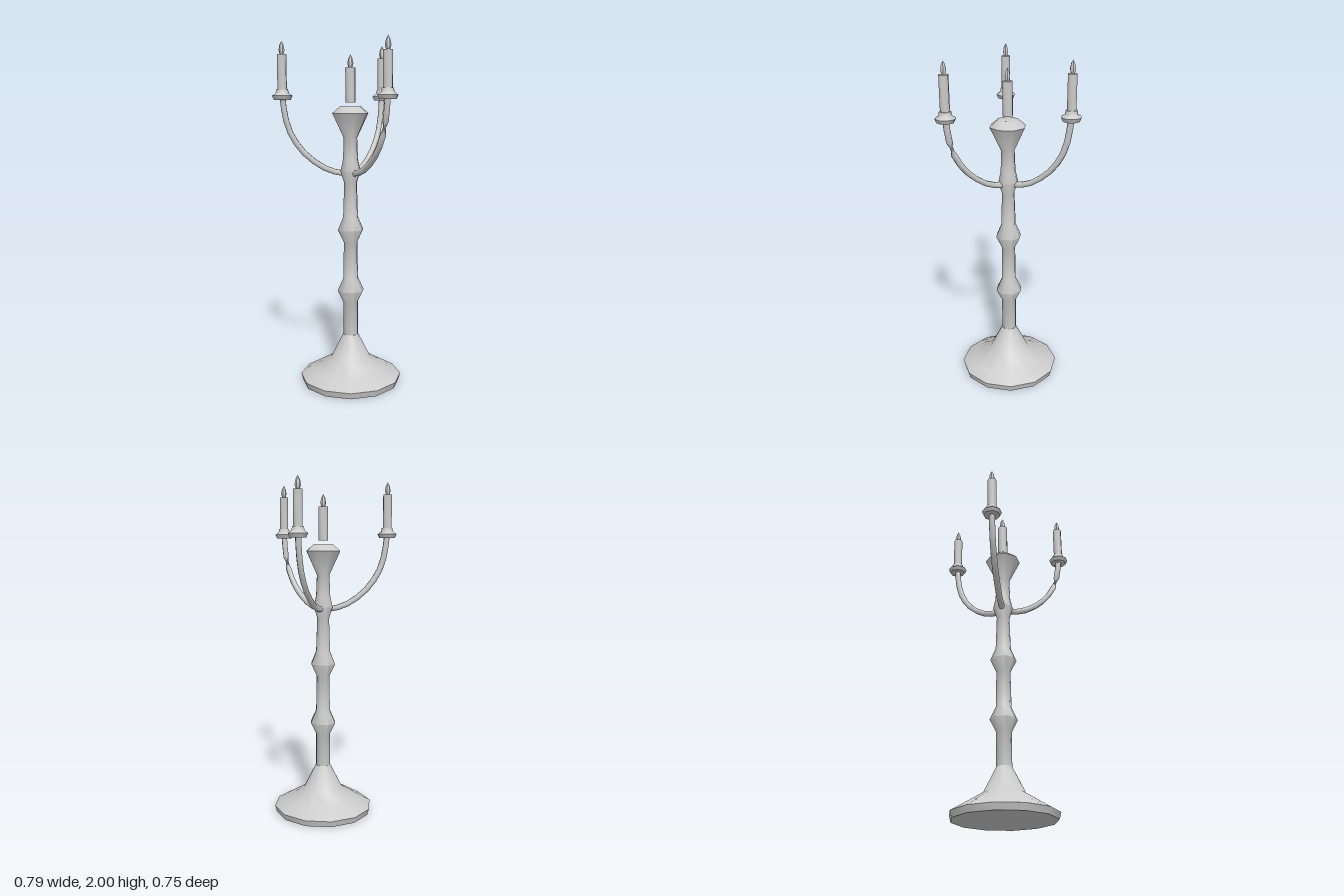
import * as THREE from 'three';
import { toCreasedNormals } from 'three/addons/utils/BufferGeometryUtils.js';

const material = new THREE.MeshStandardMaterial({ color: 0xcccccc });
const AXIS_Z = 0.07;   // the stem stands slightly forward of the centre
const REACH = 0.387;   // distance from stem to outer candles

// Turned part from a [radius, height] profile, listed bottom to top
function turned(name, profile, sides) {
  const points = profile.map(([r, y]) => new THREE.Vector2(r, y));
  const mesh = new THREE.Mesh(toCreasedNormals(new THREE.LatheGeometry(points, sides), Math.PI / 3.5), material);
  mesh.name = name;
  return mesh;
}

// Candle with its flame, standing on y = 0
function createCandle(radius, height) {
  const candle = new THREE.Group();
  candle.name = 'candle';
  const wax = turned('wax', [[0, 0], [radius, 0], [radius, height], [0, height]], 8);
  const flame = turned('flame', [[0, 0], [0.011, 0], [0.017, 0.022], [0.012, 0.05], [0, 0.072]], 6);
  flame.position.y = height;
  candle.add(wax, flame);
  return candle;
}

// Six-sided arm swept along a curve in the xy plane; a half turn after ring twistAt pinches it
function createArm(twistAt = Infinity) {
  const path = [[0.03, 1.255], [0.09, 1.265], [0.15, 1.287], [0.21, 1.325], [0.265, 1.372],
    [0.31, 1.428], [0.345, 1.49], [0.368, 1.56], [0.38, 1.63], [0.386, 1.69]];
  const sides = 6, radius = 0.018, positions = [], index = [];
  path.forEach(([x, y], i) => {
    const a = path[Math.max(i - 1, 0)], b = path[Math.min(i + 1, path.length - 1)];
    const slope = Math.atan2(b[1] - a[1], b[0] - a[0]);
    for (let j = 0; j < sides; j++) {
      const t = (j / sides) * Math.PI * 2 + (i > twistAt ? Math.PI : 0);
      const n = Math.sin(t) * radius;
      positions.push(x - Math.sin(slope) * n, y + Math.cos(slope) * n, Math.cos(t) * radius);
      if (i > 0) {
        const k = (j + 1) % sides, p = (i - 1) * sides, q = i * sides;
        index.push(p + j, q + j, p + k, p + k, q + j, q + k);
      }
    }
  });
  const geometry = new THREE.BufferGeometry();
  geometry.setAttribute('position', new THREE.Float32BufferAttribute(positions, 3));
  geometry.setIndex(index);
  geometry.computeVertexNormals();
  const armMaterial = material.clone();
  armMaterial.side = THREE.DoubleSide;
  const mesh = new THREE.Mesh(geometry, armMaterial);
  mesh.name = 'arm';
  return mesh;
}

export function createModel() {
  const model = new THREE.Group();
  model.name = 'candelabrum';

  // Flared foot
  const base = turned('base', [[0, 0], [0.29, 0], [0.3, 0.037], [0.235, 0.075], [0.118, 0.145], [0.045, 0.29], [0, 0.29]], 12);

  // Stem with three knops and a wide top
  const stem = turned('stem', [[0.045, 0.28], [0.045, 0.49], [0.08, 0.56], [0.045, 0.635], [0.041, 0.85],
    [0.077, 0.925], [0.045, 1.0], [0.038, 1.2], [0.06, 1.27], [0.045, 1.335], [0.04, 1.46],
    [0.107, 1.6], [0.06, 1.64], [0, 1.64]], 8);

  // Middle candle hovers just above the stem
  const middle = createCandle(0.03, 0.195);
  middle.position.y = 1.66;
  model.add(base, stem, middle);

  // Three arms, each with a drip cup and candle
  [-30, 90, 210].forEach((degrees, i) => {
    const angle = THREE.MathUtils.degToRad(degrees);
    const arm = createArm(i === 0 ? 6 : Infinity);
    arm.rotation.y = angle;
    const holder = new THREE.Group();
    holder.name = 'candleHolder';
    holder.position.set(Math.cos(angle) * REACH, 0, -Math.sin(angle) * REACH);
    const cup = turned('dripCup', [[0, 1.675], [0.048, 1.675], [0.059, 1.698], [0.038, 1.712], [0.033, 1.735], [0, 1.735]], 8);
    const candle = createCandle(0.027, 0.228);
    candle.position.y = 1.7;
    holder.add(cup, candle);
    model.add(arm, holder);
  });

  model.children.forEach((part) => { part.position.z += AXIS_Z; });
  return model;
}
